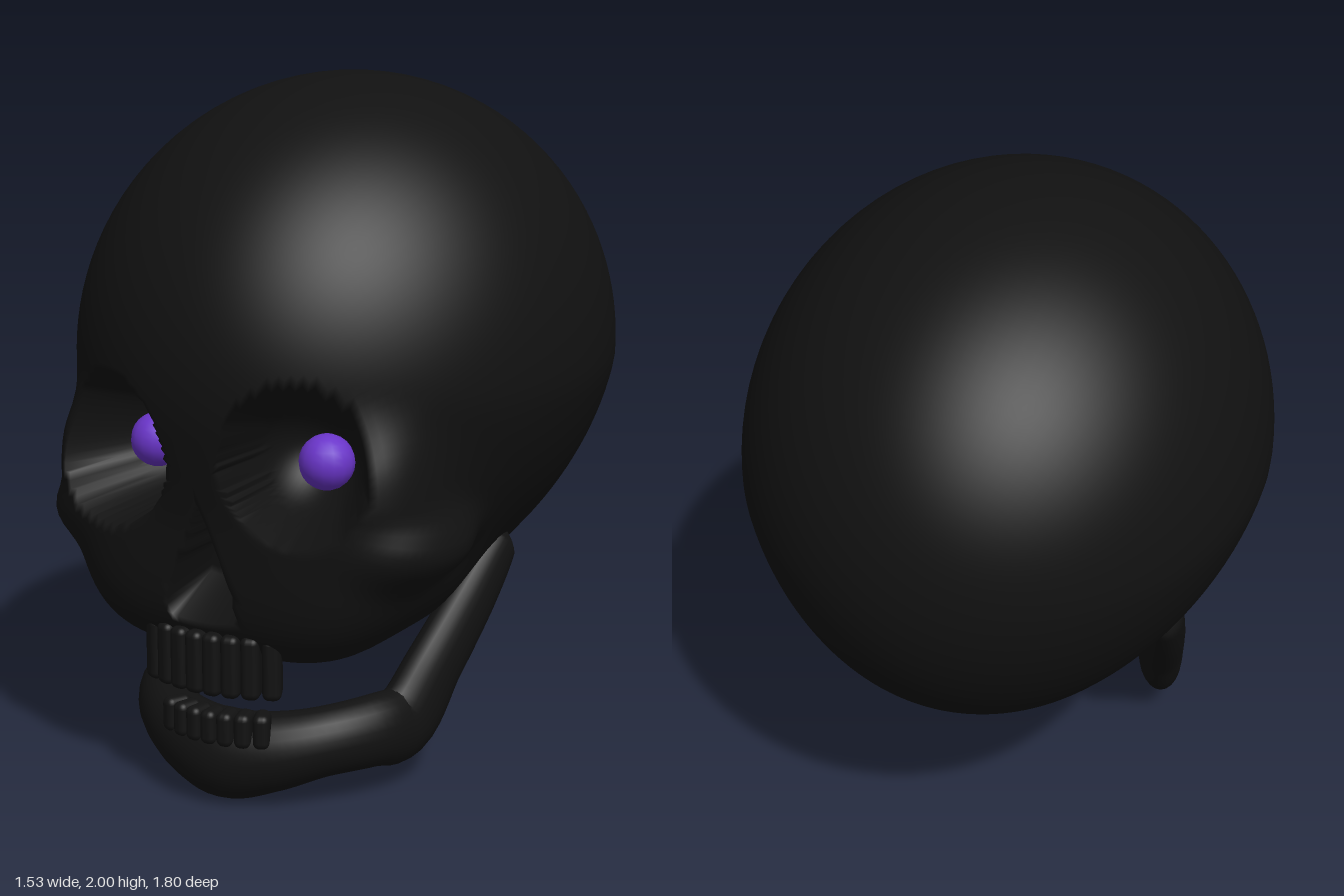
import * as THREE from 'three';
import { mergeVertices } from 'three/addons/utils/BufferGeometryUtils.js';
import { RoundedBoxGeometry } from 'three/addons/geometries/RoundedBoxGeometry.js';

const clamp = THREE.MathUtils.clamp;

// Smooth union and smooth subtraction of distance-like fields
function blend(a, b, k) {
  const h = Math.max(k - Math.abs(a - b), 0) / k;
  return Math.min(a, b) - h * h * k / 4;
}
const carve = (a, b, k) => -blend(-a, b, k);
const ellipsoid = (x, y, z, rx, ry, rz) =>
  (Math.hypot(x / rx, y / ry, z / rz) - 1) * Math.min(rx, ry, rz);

// Bone field: negative inside, symmetric in x
function skullField(px, y, z) {
  const x = Math.abs(px);
  // braincase, pinched slightly at the temples
  let d = ellipsoid(x / (1 - 0.2 * clamp(1.15 - y, 0, 0.5)), y - 1.2, z, 0.765, 0.8, 0.9);
  // boxy face, narrowing to the upper jaw
  const w = 0.46 + 0.3 * clamp(y - 0.45, 0, 0.45);
  const n = (x / w) ** 4 + ((y - 0.8) / 0.4) ** 4 + ((z - 0.39) / 0.45) ** 4;
  d = blend(d, (n ** 0.25 - 1) * 0.42, 0.06);
  // cheekbone
  d = blend(d, ellipsoid(x - 0.5, y - 0.77, z - 0.52, 0.14, 0.1, 0.21), 0.07);
  // eye socket
  d = carve(d, ellipsoid(x - 0.28 - 0.2 * (z - 0.8), y - 1, z - 0.76, 0.185, 0.185, 0.28), 0.05);
  // triangular nose opening
  const nose = Math.max((x - 0.1 * (0.87 - y) / 0.25) * 0.9, 0.63 - y, 0.66 - z);
  return carve(d, nose, 0.025);
}

// Sphere with its pole on the face, each vertex pushed out to the bone surface
function skullGeometry() {
  const geo = new THREE.SphereGeometry(1, 128, 100);
  geo.rotateX(Math.PI / 2);
  const pos = geo.attributes.position;
  const v = new THREE.Vector3();
  const cy = 0.95, cz = -0.2;
  for (let i = 0; i < pos.count; i++) {
    v.fromBufferAttribute(pos, i).normalize();
    const polar = Math.acos(clamp(v.z, -1, 1));
    const a = polar * (0.5 + 0.5 * polar / Math.PI); // finer toward the face
    const flat = Math.hypot(v.x, v.y) || 1;
    v.set(v.x / flat * Math.sin(a), v.y / flat * Math.sin(a), Math.cos(a));
    const at = (r) => skullField(v.x * r, cy + v.y * r, cz + v.z * r);
    let hi = 0.2;
    while (at(hi) < 0 && hi < 2) hi += 0.015;
    let lo = hi - 0.015;
    for (let s = 0; s < 12; s++) {
      const mid = (lo + hi) / 2;
      if (at(mid) < 0) lo = mid; else hi = mid;
    }
    pos.setXYZ(i, v.x * hi, cy + v.y * hi, cz + v.z * hi);
  }
  geo.deleteAttribute('uv');
  geo.deleteAttribute('normal');
  const merged = mergeVertices(geo, 1e-5);
  merged.computeVertexNormals();
  return merged;
}

// Tube with elliptical sections: [x, y, z, half width, half height]
function taperedTube(sections, steps, sides) {
  const path = new THREE.CatmullRomCurve3(sections.map((s) => new THREE.Vector3(s[0], s[1], s[2])));
  const radii = new THREE.CatmullRomCurve3(sections.map((s) => new THREE.Vector3(s[3], s[4], 0)));
  const up = new THREE.Vector3(0, 1, 0);
  const verts = [], index = [];
  for (let i = 0; i <= steps; i++) {
    const p = path.getPoint(i / steps), r = radii.getPoint(i / steps);
    const t = path.getTangent(i / steps);
    const n = new THREE.Vector3().crossVectors(t, up).normalize();
    const b = new THREE.Vector3().crossVectors(t, n);
    for (let j = 0; j < sides; j++) {
      const a = j / sides * Math.PI * 2;
      const q = p.clone().addScaledVector(n, Math.cos(a) * r.x).addScaledVector(b, Math.sin(a) * r.y);
      verts.push(q.x, q.y, q.z);
      if (i < steps) {
        const k = (j + 1) % sides, c = i * sides, e = c + sides;
        index.push(c + j, c + k, e + k, c + j, e + k, e + j);
      }
    }
  }
  const geo = new THREE.BufferGeometry();
  geo.setAttribute('position', new THREE.Float32BufferAttribute(verts, 3));
  geo.setIndex(index);
  geo.computeVertexNormals();
  return geo;
}

export function createModel() {
  const model = new THREE.Group();
  const bone = new THREE.MeshStandardMaterial({ color: 0x111111 });
  bone.name = 'black bone';
  const glow = new THREE.MeshStandardMaterial({ color: 0x6a35c9 });
  glow.name = 'purple eye';

  function add(name, geo, mat, x = 0, y = 0, z = 0, parent = model) {
    const mesh = new THREE.Mesh(geo, mat);
    mesh.name = name;
    mesh.position.set(x, y, z);
    parent.add(mesh);
    return mesh;
  }

  add('skull', skullGeometry(), bone);

  // Eyes deep in the sockets
  for (const s of [1, -1]) {
    add(s > 0 ? 'leftEye' : 'rightEye', new THREE.SphereGeometry(0.078, 16, 12), glow, s * 0.277, 0.99, 0.62);
  }

  // Lower jaw, one side listed and then mirrored through the chin
  const half = [
    [0.505, 0.68, -0.03, 0.002, 0.002],
    [0.5, 0.64, 0.01, 0.05, 0.07],
    [0.47, 0.5, 0.125, 0.06, 0.09],
    [0.425, 0.33, 0.265, 0.065, 0.1],
    [0.385, 0.19, 0.38, 0.07, 0.115],
    [0.35, 0.19, 0.49, 0.08, 0.105],
    [0.26, 0.18, 0.61, 0.085, 0.1],
    [0.13, 0.15, 0.685, 0.1, 0.115],
  ];
  const mirrored = half.map(([x, ...rest]) => [-x, ...rest]).reverse();
  const jaw = [...half, [0, 0.13, 0.705, 0.115, 0.13], ...mirrored];
  add('lowerJaw', taperedTube(jaw, 96, 24), bone);

  // Tooth rows on shallow arcs
  function teeth(name, count, halfWidth, y, height, zFront, sag) {
    const row = new THREE.Group();
    row.name = name;
    const w = 2 * halfWidth / count;
    for (let i = 0; i < count; i++) {
      const x = (i - (count - 1) / 2) * w;
      const bend = (x / halfWidth) ** 2 * sag;
      const tooth = add('tooth', new RoundedBoxGeometry(w * 1.02, height, 0.08, 3, 0.02),
        bone, x, y, zFront - 0.04 - bend, row);
      tooth.rotation.y = Math.atan(2 * sag * x / halfWidth ** 2);
    }
    model.add(row);
  }
  teeth('upperTeeth', 8, 0.21, 0.43, 0.18, 0.845, 0.06);
  teeth('lowerTeeth', 7, 0.165, 0.237, 0.1, 0.82, 0.045);

  return model;
}
